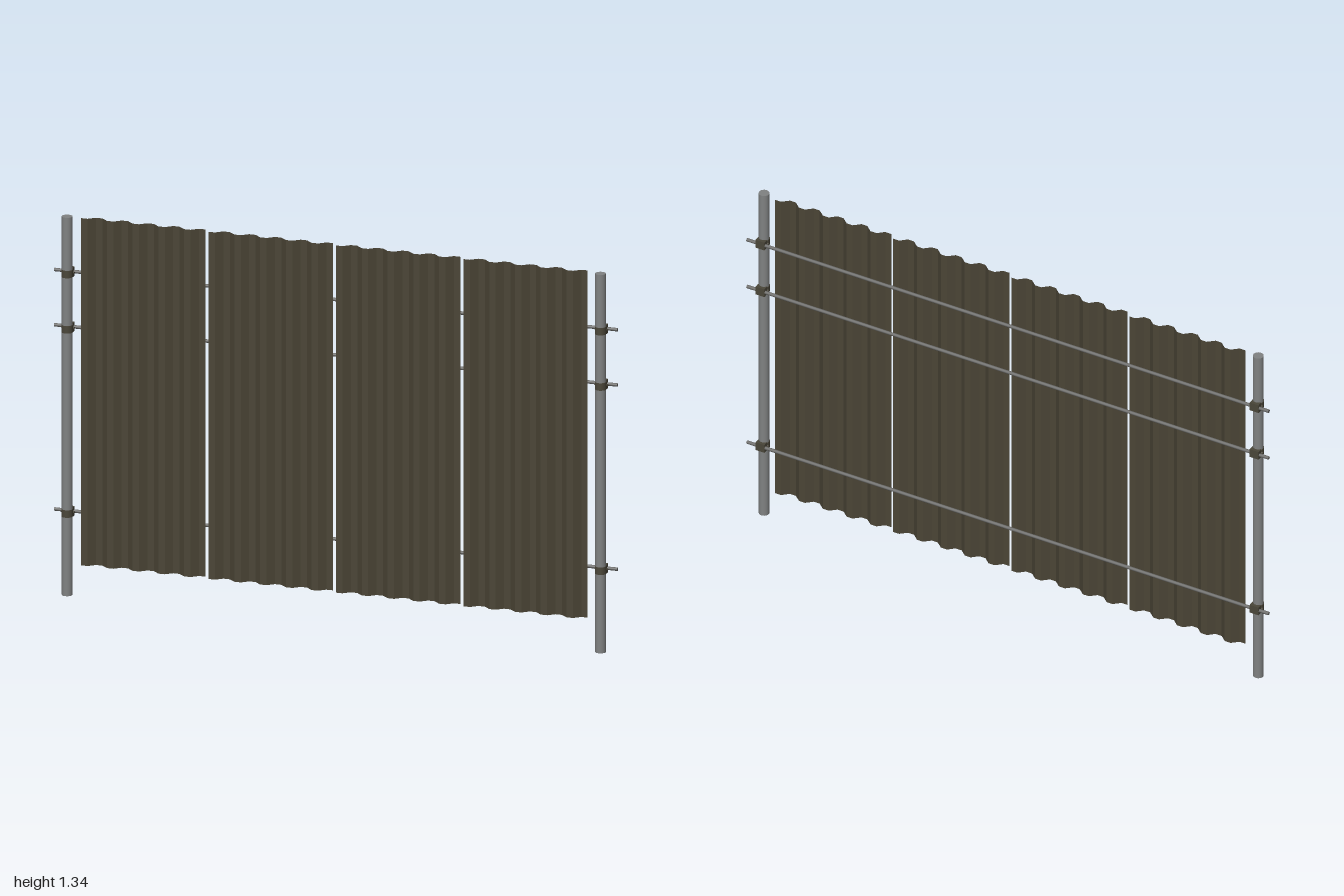
import * as THREE from 'three';

const HEIGHT = 1.335;
const POST_X = 0.947, POST_Z = 0.005, POST_R = 0.0182;
const RAIL_Z = -0.017, RAIL_R = 0.006;
const RAIL_Y = [0.29, 0.94, 1.135];

// Zinc posts, darker rails and clamps, olive-brown sheets
function mat(name, color, side = THREE.FrontSide) {
  const m = new THREE.MeshStandardMaterial({ color, side });
  m.name = name;
  return m;
}

// Open trapezoidal sheet: five front flats and five back flats joined by slopes
function corrugatedSheet(width, y0, y1, zBack, zFront) {
  const segments = 19, step = width / segments;
  const wave = [zFront, zFront, zBack, zBack];
  const pos = [], index = [];
  for (let i = 0; i < segments; i++) {
    const xa = -width / 2 + i * step, xb = xa + step;
    const za = wave[i % 4], zb = wave[(i + 1) % 4];
    const n = pos.length / 3;
    pos.push(xa, y0, za, xb, y0, zb, xb, y1, zb, xa, y1, za);
    index.push(n, n + 1, n + 2, n, n + 2, n + 3);
  }
  const g = new THREE.BufferGeometry();
  g.setAttribute('position', new THREE.Float32BufferAttribute(pos, 3));
  g.setIndex(index);
  g.computeVertexNormals();
  return g;
}

export function createModel() {
  const model = new THREE.Group();
  model.name = 'corrugatedFence';
  const zinc = mat('zincGrey', 0x808282);
  const steel = mat('railGrey', 0x686866);
  const dark = mat('clampBrown', 0x4a4639);
  const sheet = mat('sheetBrown', 0x4b4536, THREE.DoubleSide);

  const add = (parent, name, geometry, material, x = 0, y = 0, z = 0) => {
    const mesh = new THREE.Mesh(geometry, material);
    mesh.name = name;
    mesh.position.set(x, y, z);
    parent.add(mesh);
    return mesh;
  };

  // Four corrugated sheets with narrow gaps
  const sheetGeo = corrugatedSheet(0.434, 0.11, HEIGHT, -0.011, 0.009);
  for (let i = 0; i < 4; i++) add(model, 'sheet', sheetGeo, sheet, (i - 1.5) * 0.4525);

  // Horizontal rails behind the sheets
  const railGeo = new THREE.CylinderGeometry(RAIL_R, RAIL_R, 2, 12).rotateZ(Math.PI / 2);
  for (const y of RAIL_Y) add(model, 'rail', railGeo, steel, 0, y, RAIL_Z);

  // End posts, each with a clamp at every rail
  const postGeo = new THREE.CylinderGeometry(POST_R, POST_R, HEIGHT, 24);
  const collarGeo = new THREE.CylinderGeometry(0.0195, 0.0195, 0.026, 24);
  const blockGeo = new THREE.BoxGeometry(0.034, 0.032, 0.018);
  const boltGeo = new THREE.CylinderGeometry(0.004, 0.004, 0.046, 6).rotateZ(Math.PI / 2);
  for (const side of [-1, 1]) {
    add(model, 'post', postGeo, zinc, side * POST_X, HEIGHT / 2, POST_Z);
    for (const y of RAIL_Y) {
      const clamp = new THREE.Group();
      clamp.name = 'clamp';
      clamp.position.set(side * POST_X, y, 0);
      model.add(clamp);
      add(clamp, 'collar', collarGeo, dark, 0, 0, POST_Z);
      add(clamp, 'railBlock', blockGeo, dark, 0, 0, -0.0145);
      add(clamp, 'bolt', boltGeo, dark, 0, 0, -0.004);
    }
  }
  return model;
}
